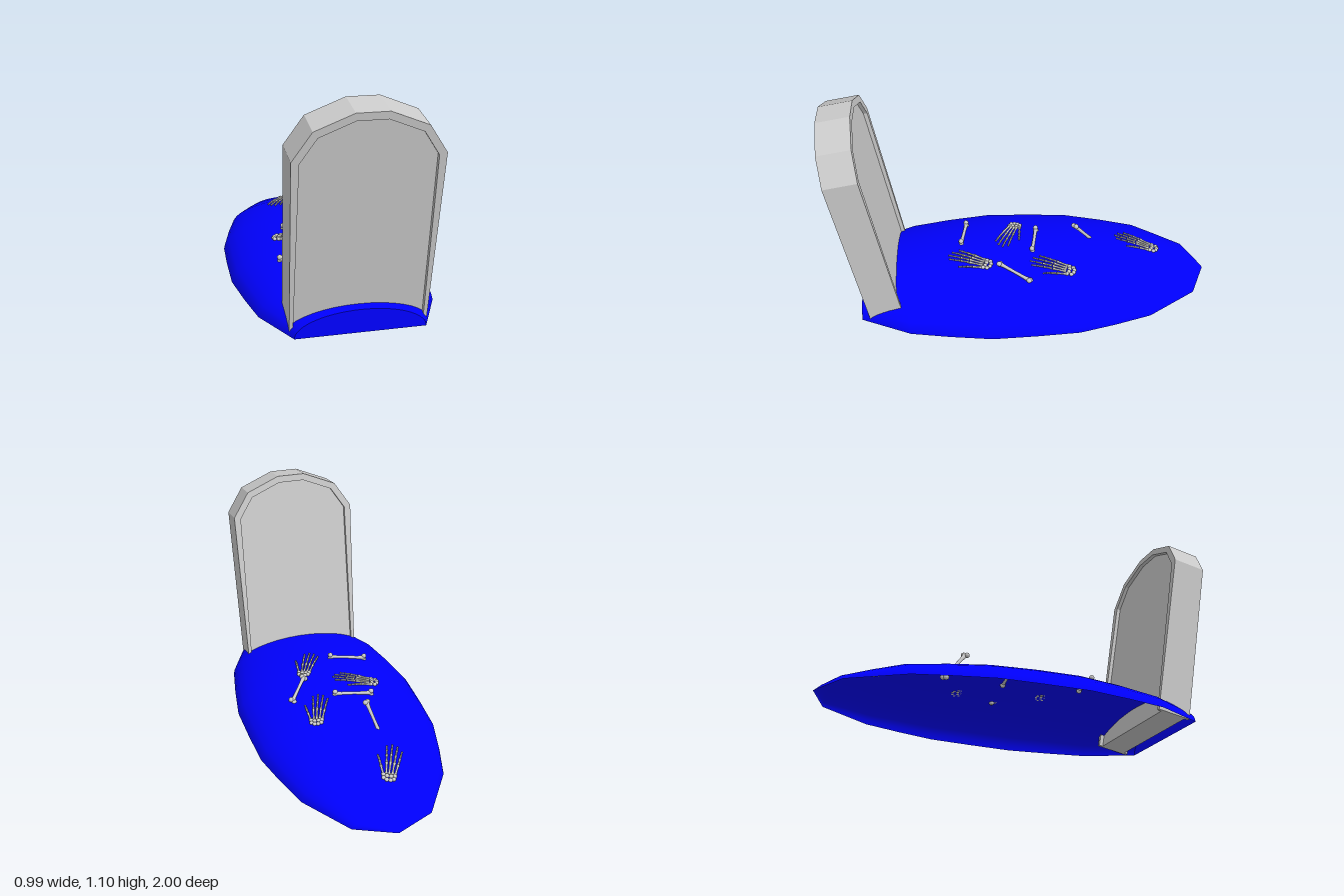
import * as THREE from 'three';

const grey = new THREE.MeshStandardMaterial({ color: 0xcccccc });
const blue = new THREE.MeshStandardMaterial({ color: 0x0000ff, side: THREE.DoubleSide });

function add(parent, name, geometry, material = grey) {
  const mesh = new THREE.Mesh(geometry, material);
  mesh.name = name;
  parent.add(mesh);
  return mesh;
}

// Mound cross-sections: [z, half width, height]
const SECTIONS = [
  [-1, 0.001, 0.001], [-0.97, 0.067, 0.024], [-0.91, 0.2, 0.05], [-0.78, 0.285, 0.092],
  [-0.65, 0.37, 0.125], [-0.46, 0.427, 0.149], [-0.27, 0.475, 0.166], [-0.05, 0.488, 0.178],
  [0.18, 0.495, 0.181], [0.4, 0.465, 0.171], [0.6, 0.43, 0.15], [0.74, 0.364, 0.135], [0.855, 0.31, 0.114],
];

function sectionAt(z) {
  let i = 0;
  while (i < SECTIONS.length - 2 && SECTIONS[i + 1][0] < z) i++;
  const [a, b] = [SECTIONS[i], SECTIONS[i + 1]];
  const t = (z - a[0]) / (b[0] - a[0]);
  return [a[1] + (b[1] - a[1]) * t, a[2] + (b[2] - a[2]) * t];
}

function moundY(x, z) {
  const [w, h] = sectionAt(z);
  return h * Math.sqrt(Math.max(0, 1 - (x / w) ** 2));
}

function moundPoint(x, z, lift) {
  return new THREE.Vector3(x, moundY(x, z) + lift, z);
}

function makeMound() {
  const group = new THREE.Group();
  group.name = 'mound';
  const n = 18, pos = [], index = [];
  for (const [z, w, h] of SECTIONS) {
    for (let i = 0; i <= n; i++) {
      const a = Math.PI * i / n;
      pos.push(Math.cos(a) * w, Math.sin(a) * h, z);
    }
  }
  for (let s = 0; s < SECTIONS.length - 1; s++) {
    for (let i = 0; i < n; i++) {
      const a = s * (n + 1) + i, b = a + n + 1;
      index.push(a, a + 1, b, a + 1, b + 1, b);
    }
  }
  const shell = new THREE.BufferGeometry();
  shell.setAttribute('position', new THREE.Float32BufferAttribute(pos, 3));
  shell.setIndex(index);
  shell.computeVertexNormals();
  add(group, 'moundShell', shell, blue);

  // Flat end below the headstone
  const [z, w, h] = SECTIONS[SECTIONS.length - 1];
  const end = new THREE.Shape();
  end.absellipse(0, 0, w, h, 0, Math.PI, false);
  const cap = add(group, 'moundEnd', new THREE.ShapeGeometry(end, n), blue);
  cap.position.z = z;
  return group;
}

// Headstone slab with a raised arched rim on both faces
function makeHeadstone() {
  const group = new THREE.Group();
  group.name = 'headstone';
  const thick = 0.173, recess = 0.02;
  const half = [[0.325, 0], [0.341, 0.873], [0.253, 1.007], [0.075, 1.081]];
  const inner = [[0.308, 0], [0.305, 0.863], [0.23, 0.978], [0.07, 1.045]];
  const arch = (pts) => [...pts, ...pts.map(([x, y]) => [-x, y]).reverse()].map((p) => new THREE.Vector2(...p));
  const slab = new THREE.Shape(arch(half));
  const rim = new THREE.Shape([...arch(half), ...arch(inner).reverse()]);
  const extrude = (name, shape, z, depth) => {
    add(group, name, new THREE.ExtrudeGeometry(shape, { depth, bevelEnabled: false })).position.z = z;
  };
  extrude('slab', slab, recess - thick, thick - 2 * recess);
  extrude('frontRim', rim, -recess, recess);
  extrude('backRim', rim, -thick, recess);
  group.position.set(0, 0.002, 0.81);
  group.rotation.x = THREE.MathUtils.degToRad(10);
  return group;
}

// Long bone from a to b: waisted shaft with two knobs at each end
function makeBone(a, b, r, name, knobs = true) {
  const group = new THREE.Group();
  group.name = name;
  const len = a.distanceTo(b);
  const profile = [[0, -0.5], [1.2, -0.5], [0.85, -0.32], [0.75, 0], [0.85, 0.32], [1.2, 0.5], [0, 0.5]];
  add(group, 'shaft', new THREE.LatheGeometry(profile.map(([x, y]) => new THREE.Vector2(x * r, y * len)), 8));
  if (knobs) {
    for (const end of [-1, 1]) for (const side of [-1, 1]) {
      const knob = add(group, 'knob', new THREE.SphereGeometry(r * 1.25, 8, 6));
      knob.position.set(side * r * 0.95, end * len * 0.49, 0);
    }
  }
  group.position.copy(a).lerp(b, 0.5);
  group.quaternion.setFromUnitVectors(new THREE.Vector3(0, 1, 0), b.clone().sub(a).normalize());
  return group;
}

// Skeletal hand: wrist at the origin, fingers along +z, thumb on +x
function makeHand() {
  const group = new THREE.Group();
  const wrist = [[-0.024, 0], [-0.008, -0.008], [0.01, -0.008], [0.026, 0.002],
    [-0.028, 0.022], [-0.01, 0.018], [0.01, 0.018], [0.028, 0.024]];
  for (const [x, z] of wrist) {
    const carpal = add(group, 'carpal', new THREE.SphereGeometry(0.0115, 8, 6));
    carpal.position.set(x, 0, z);
    carpal.scale.y = 0.8;
  }
  // Each finger: base x, tip x, tip z, joints as fractions of its length
  const joints = [0, 0.4, 0.66, 0.84, 1];
  const fingers = [[-0.03, -0.058, 0.195], [-0.015, -0.034, 0.225], [0, -0.007, 0.236],
    [0.014, 0.02, 0.222], [0.031, 0.062, 0.15]];
  for (const [x0, x1, z1] of fingers) {
    const at = (t) => new THREE.Vector3(x0 + (x1 - x0) * t, 0.004 * Math.sin(t * Math.PI), 0.03 + (z1 - 0.03) * t);
    for (let j = 0; j < 4; j++) {
      group.add(makeBone(at(joints[j] + 0.01), at(joints[j + 1] - 0.015), 0.0065 - j * 0.0007, 'fingerBone', false));
    }
  }
  return group;
}

// Lay a hand on the mound, from wrist (x, z) towards a fingertip (x, z)
function placeHand(wx, wz, tx, tz) {
  const hand = makeHand();
  hand.name = 'skeletonHand';
  const from = moundPoint(wx, wz, 0.006), to = moundPoint(tx, tz, 0.006);
  const zAxis = to.clone().sub(from).normalize();
  const mx = (wx + tx) / 2, mz = (wz + tz) / 2, e = 0.04;
  const up = new THREE.Vector3(
    (moundY(mx - e, mz) - moundY(mx + e, mz)) / (2 * e), 1,
    (moundY(mx, mz - e) - moundY(mx, mz + e)) / (2 * e));
  const xAxis = up.cross(zAxis).normalize();
  const yAxis = zAxis.clone().cross(xAxis);
  hand.quaternion.setFromRotationMatrix(new THREE.Matrix4().makeBasis(xAxis, yAxis, zAxis));
  hand.position.copy(from);
  return hand;
}

export function createModel() {
  const model = new THREE.Group();
  model.name = 'grave';
  model.add(makeMound(), makeHeadstone());

  // Hands scattered over the mound
  const hands = [[-0.045, -0.735, -0.135, -0.515], [0.175, -0.255, 0.108, -0.03],
    [-0.24, 0.025, -0.02, 0.1], [0.12, 0.185, 0.03, 0.405]];
  for (const h of hands) model.add(placeHand(...h));

  // Loose bones, the first standing up out of the ground
  const v = (x, y, z) => new THREE.Vector3(x, y, z);
  const bones = [
    [v(-0.08, 0.262, -0.29), v(-0.125, 0.11, -0.41)],
    [v(-0.18, 0.172, -0.085), v(0.015, 0.182, -0.052)],
    [v(0.24, 0.162, -0.025), v(0.135, 0.198, 0.13)],
    [v(-0.27, 0.155, 0.3), v(-0.075, 0.178, 0.33)],
  ];
  for (const [a, b] of bones) model.add(makeBone(a, b, 0.011, 'looseBone'));
  return model;
}
